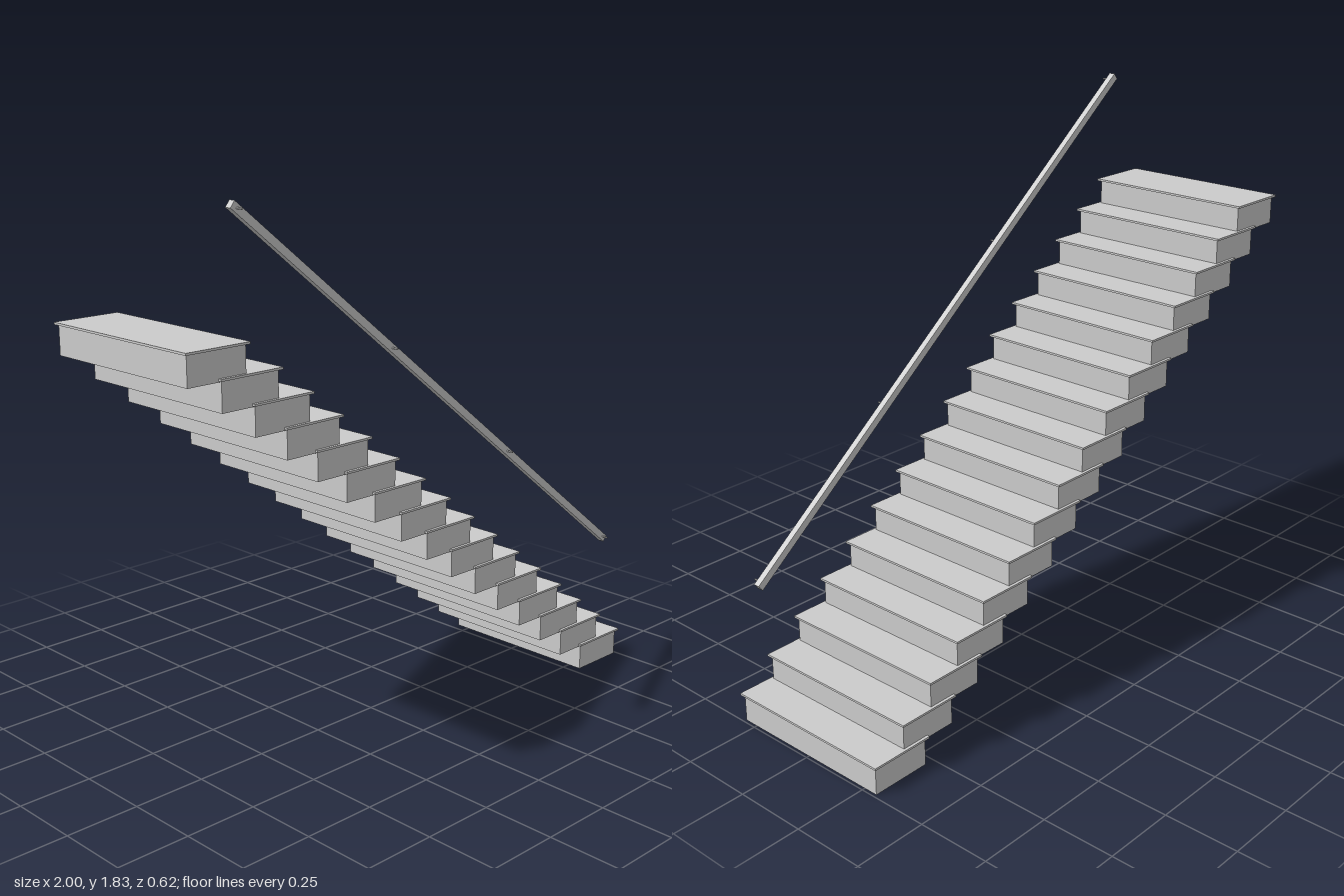
import * as THREE from 'three';

const STEPS = 16, RUN = 0.118, RISE = 0.09;

export function createModel() {
  const model = new THREE.Group();
  model.name = 'staircase';
  const material = new THREE.MeshStandardMaterial({ color: 0xcccccc, flatShading: true });

  function add(name, geometry, x, y, z) {
    const mesh = new THREE.Mesh(geometry, material);
    mesh.name = name;
    mesh.position.set(x, y, z);
    model.add(mesh);
    return mesh;
  }

  // Solid step blocks, each capped by a thin overhanging tread
  const blockGeo = new THREE.BoxGeometry(0.207, 0.093, 0.6);
  const treadGeo = new THREE.BoxGeometry(0.226, 0.007, 0.62);
  for (let i = 0; i < STEPS; i++) {
    const x = 0.886 - i * RUN, y = i * RISE;
    add('stepBlock' + (i + 1), blockGeo, x, y + 0.0465, 0);
    add('tread' + (i + 1), treadGeo, x, y + 0.0965, 0);
  }

  // Square handrail sloping parallel to the flight
  const top = new THREE.Vector3(-0.8, 1.825, 0.27);
  const bottom = new THREE.Vector3(0.93, 0.465, 0.27);
  const mid = top.clone().lerp(bottom, 0.5);
  const rail = add('handrail', new THREE.BoxGeometry(top.distanceTo(bottom), 0.025, 0.022), mid.x, mid.y, mid.z);
  rail.rotation.z = Math.atan2(bottom.y - top.y, bottom.x - top.x);

  // Small pins that fix the rail to the wall side
  const pinGeo = new THREE.CylinderGeometry(0.003, 0.003, 0.03, 8).rotateX(Math.PI / 2);
  [-0.785, -0.185, 0.365, 0.915].forEach((x, i) => {
    const t = (x - top.x) / (bottom.x - top.x);
    add('railPin' + (i + 1), pinGeo, x, THREE.MathUtils.lerp(top.y, bottom.y, t), 0.288);
  });

  return model;
}
